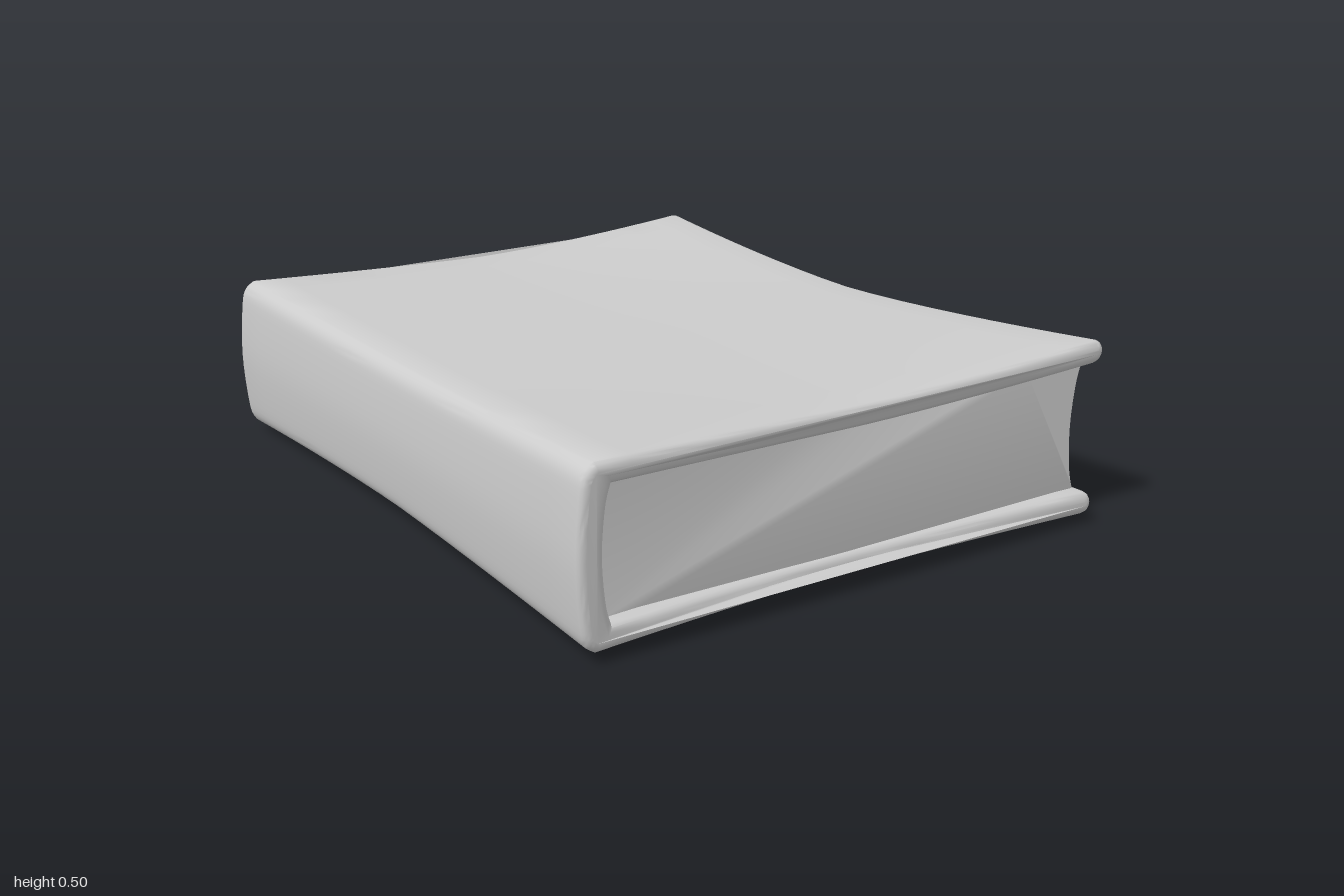
import * as THREE from 'three';
import { toCreasedNormals } from 'three/addons/utils/BufferGeometryUtils.js';

const H = 0.42;      // closed thickness before warping
const T = 0.055;     // cover board thickness
const EDGE = 0.775;  // half width before warping

// Bends the straight book: splayed corners, sagging covers, pinched sides
function warp(geometry) {
  const p = geometry.attributes.position;
  for (let i = 0; i < p.count; i++) {
    const x = p.getX(i), y = p.getY(i), z = p.getZ(i);
    const right = x > 0, front = z > 0;
    const u = Math.pow(Math.abs(x) / EDGE, 1.5);
    const v = Math.pow(Math.abs(z), 1.5);
    const top = 0.44 + 0.015 * v + (right ? 0.015 : 0.005) * u + (right ? 0.04 : 0.015) * u * v;
    const bottom = front ? 0.037 - 0.01 * v : 0.037 - 0.015 * v - 0.022 * v * Math.max(0, 1 - u);
    const spread = !right && front ? 0.015 : 0.035;
    const length = front ? 0.95 + u * (right ? 0.03 : 0.05) : 0.98 + u * (right ? 0.02 : 0.005);
    p.setXYZ(i,
      x + (x / EDGE) * spread * v,
      y + THREE.MathUtils.lerp(bottom, top - H, y / H),
      z * length);
  }
  return toCreasedNormals(geometry, 0.7);
}

// Evenly spaced points along a straight run, without the last one
function run(x0, y0, x1, y1, n) {
  return Array.from({ length: n }, (_, i) => new THREE.Vector2(
    THREE.MathUtils.lerp(x0, x1, i / n), THREE.MathUtils.lerp(y0, y1, i / n)));
}

// Smooth curve through a few points
function curve(points, n) {
  return new THREE.SplineCurve(points.map(([x, y]) => new THREE.Vector2(x, y))).getPoints(n);
}

// Half-round free edge of a cover board
function roundEdge(cy, from, to) {
  const r = T / 2;
  return Array.from({ length: 9 }, (_, i) => {
    const a = THREE.MathUtils.lerp(from, to, i / 8);
    return new THREE.Vector2(EDGE - r + r * Math.cos(a), cy + r * Math.sin(a));
  });
}

// Extrudes a section along z, centred
function extrude(points, halfLength, bevel) {
  const depth = 2 * (halfLength - bevel);
  const geometry = new THREE.ExtrudeGeometry(new THREE.Shape(points), {
    depth, steps: 16, bevelEnabled: bevel > 0, bevelThickness: bevel,
    bevelSize: bevel, bevelOffset: -bevel, bevelSegments: 4,
  });
  return warp(geometry.translate(0, 0, -depth / 2));
}

export function createModel() {
  const group = new THREE.Group();
  const material = new THREE.MeshStandardMaterial({ color: 0xcccccc });
  const add = (name, geometry) => {
    const mesh = new THREE.Mesh(geometry, material);
    mesh.name = name;
    group.add(mesh);
  };
  const end = EDGE - T / 2, half = Math.PI / 2;

  // Cover: two boards joined by a rounded spine, in one C-shaped section
  const spineOuter = curve([[-0.725, 0], [-0.752, 0.022], [-0.765, 0.07], [-0.775, H / 2],
    [-0.765, H - 0.07], [-0.752, H - 0.022], [-0.725, H]], 24);
  const spineInner = curve([[-0.68, H - T], [-0.694, H - T - 0.05], [-0.703, H / 2],
    [-0.694, T + 0.05], [-0.68, T]], 14);
  add('cover', extrude([
    ...run(end, 0, -0.725, 0, 16).slice(1),
    ...spineOuter,
    ...run(-0.725, H, end, H, 16).slice(1),
    ...roundEdge(H - T / 2, half, -half),
    ...run(end, H - T, -0.68, H - T, 16).slice(1),
    ...spineInner,
    ...run(-0.68, T, end, T, 16).slice(1),
    ...roundEdge(T / 2, half, -half),
  ], 1, 0.022));

  // Page block with a hollowed fore edge, tucked slightly into the cover
  const low = T - 0.01, high = H - T + 0.01;
  add('pages', extrude([
    ...run(-0.715, low, 0.752, low, 16),
    ...curve([[0.752, low], [0.734, low + 0.06], [0.725, H / 2], [0.734, high - 0.06], [0.752, high]], 14),
    ...run(0.752, high, -0.715, high, 16).slice(1),
    new THREE.Vector2(-0.715, high),
  ], 0.95, 0));

  return group;
}
